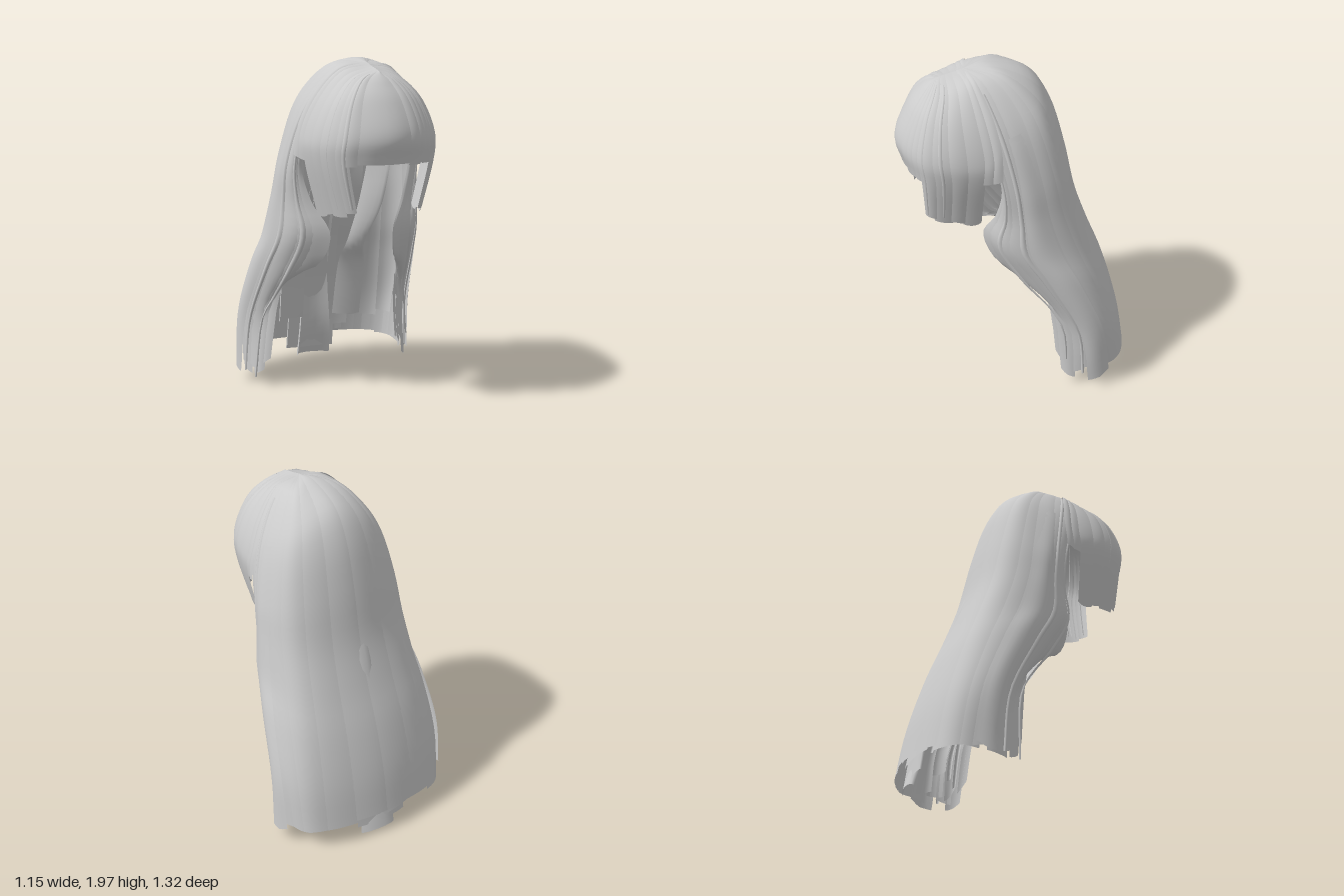
import * as THREE from 'three';

const hairMaterial = new THREE.MeshStandardMaterial({ color: 0xcccccc, side: THREE.DoubleSide });

// seeded random number in 0..1
let seed = 7;
const rand = () => (seed = (seed * 16807) % 2147483647) / 2147483647;

const curve = (pts) => new THREE.CatmullRomCurve3(pts, false, 'catmullrom', 0.5);
const guide = (pts, mirror = 1) => curve(pts.map(([x, y, z]) => new THREE.Vector3(x * mirror, y, z)));

// A hair surface spans a row of guide curves; s runs across the guides, t from root to tip.
function surface(guides) {
  return (t) => {
    const row = curve(guides.map((g) => g.getPoint(t)));
    return (s) => row.getPoint(THREE.MathUtils.clamp(s / (guides.length - 1), 0, 1));
  };
}

// Guides listed from the centre outwards, mirrored to the other side
const mirrored = (lists) => surface([
  ...lists.slice(1).reverse().map((l) => guide(l, -1)),
  ...lists.map((l) => guide(l)),
]);

// One flat lock of hair on a surface: slightly domed across, ragged at the tip, flaring outwards
function lock(surf, { s0, s1, t0 = 0, t1 = 1, lift = 0, bulge = 0.005, slant = 0, taper = 0, flare = 0, side = 1, nu = 6, nv = 36 }) {
  const pos = [], index = [];
  const e = 0.004;
  for (let j = 0; j <= nv; j++) {
    for (let i = 0; i <= nu; i++) {
      const u = i / nu, v = j / nv;
      const t = THREE.MathUtils.clamp(t0 + (t1 + slant * (u - 0.5) - t0) * v, 0, 1);
      const half = (s1 - s0) / 2 * (1 - taper * v * v);
      const s = (s0 + s1) / 2 + half * (2 * u - 1);
      const row = surf(t), p = row(s);
      const ds = row(s + 0.02).sub(row(s - 0.02));
      const dt = surf(Math.min(1, t + e))(s).sub(surf(Math.max(0, t - e))(s));
      const n = ds.cross(dt).multiplyScalar(side);
      if (n.length() < 1e-9) n.set(0, 1, 0);
      n.normalize();
      const k = (lift + bulge * (1 - (2 * u - 1) ** 2)) * Math.min(1, t * 5) + flare * v * v;
      p.addScaledVector(n, k);
      pos.push(p.x, p.y, p.z);
      if (i < nu && j < nv) {
        const a = j * (nu + 1) + i, b = a + 1, c = a + nu + 1, d = c + 1;
        if (side > 0) index.push(a, b, c, b, d, c);
        else index.push(a, c, b, b, c, d);
      }
    }
  }
  const geo = new THREE.BufferGeometry();
  geo.setAttribute('position', new THREE.Float32BufferAttribute(pos, 3));
  geo.setIndex(index);
  geo.computeVertexNormals();
  return geo;
}

export function createModel() {
  seed = 7;
  const model = new THREE.Group();
  model.name = 'longHair';
  const part = (name) => {
    const g = new THREE.Group();
    g.name = name;
    model.add(g);
    return (surf, opts) => {
      const m = new THREE.Mesh(lock(surf, opts), hairMaterial);
      m.name = name + 'Lock';
      g.add(m);
    };
  };

  // Long hair: from the centre of the back round to the front edge by the neck
  const long = mirrored([
    [[0, 1.97, .28], [0, 1.99, .14], [0, 1.92, -.07], [0, 1.76, -.185], [0, 1.5, -.265], [0, 1.2, -.33], [0, .95, -.415], [0, .7, -.515], [0, .42, -.6], [0, .13, -.655]],
    [[0, 1.97, .28], [.12, 1.965, .1], [.21, 1.85, -.04], [.27, 1.7, -.12], [.315, 1.45, -.19], [.34, 1.2, -.25], [.365, .95, -.34], [.39, .72, -.43], [.41, .42, -.52], [.41, .12, -.57]],
    [[0, 1.97, .28], [.14, 1.95, .18], [.255, 1.82, .1], [.34, 1.65, .05], [.405, 1.4, 0], [.43, 1.2, -.03], [.455, .98, -.09], [.495, .77, -.2], [.525, .45, -.34], [.515, .1, -.39]],
    [[0, 1.965, .3], [.15, 1.93, .27], [.27, 1.79, .23], [.345, 1.62, .18], [.385, 1.4, .13], [.38, 1.2, .11], [.38, 1.0, .12], [.415, .78, -.01], [.47, .45, -.21], [.5, .07, -.24]],
    [[0, 1.96, .32], [.15, 1.91, .3], [.265, 1.77, .27], [.325, 1.6, .23], [.34, 1.4, .16], [.29, 1.2, .18], [.2, 1.02, .235], [.24, .83, .155], [.37, .67, -.08], [.44, .1, -.16]],
  ]);
  const addLong = part('longOuterHair');
  const n = 18;
  for (let i = 0; i < n; i++) {
    const s = i * 8 / n, w = 8 / n;
    addLong(long, {
      s0: Math.max(0, s - .05 - .15 * rand()), s1: Math.min(8, s + w + .05 + .15 * rand()),
      t1: .975 + .025 * rand(), lift: .005 * rand(), bulge: .003 + .003 * rand(), slant: .02 * (rand() - .5),
    });
  }

  // Under layer with uneven tips, seen from the front and below
  const addUnder = part('longUnderHair');
  for (let i = 0; i < 12; i++) {
    const s = .55 + i * .575;
    addUnder(long, {
      s0: s - .08, s1: s + .65, t0: .12, t1: .93 + .07 * rand(), lift: -.012 - .015 * rand(),
      bulge: .008, slant: .03 * (rand() - .5), taper: .2,
    });
  }

  // Loose sheets and thin wisps over both sides, flaring away at the tips
  const addWisp = part('sideWisps');
  for (const m of [-1, 1]) {
    addWisp(long, { s0: 4 + m * 2.1 - .35, s1: 4 + m * 2.1 + .35, t0: .3, t1: 1, lift: .004, flare: .045, slant: .02 * m });
    for (const a of [2.6, 3.3]) {
      addWisp(long, { s0: 4 + m * a - .1, s1: 4 + m * a + .1, t0: .15, t1: .95 + .05 * rand(), lift: .004, flare: .03 * rand(), bulge: .008, taper: .5, nu: 4 });
    }
  }

  // Nested curls just inside the front edges, by the neck
  const addCurl = part('neckCurls');
  for (const m of [-1, 1]) {
    for (const [a, lift, t1] of [[3.75, -.02, .92], [3.4, -.04, .97], [3.05, -.03, .95]]) {
      addCurl(long, { s0: 4 + m * a - .2, s1: 4 + m * a + .2, t0: .35, t1, lift, bulge: .012, taper: .5 });
    }
  }

  // Front hair: from the centre of the fringe round to above the ears
  const front = mirrored([
    [[0, 1.93, .44], [0, 1.87, .505], [0, 1.77, .585], [0, 1.6, .66], [0, 1.45, .63], [0, 1.15, .57]],
    [[0, 1.935, .42], [.1, 1.885, .465], [.18, 1.78, .53], [.235, 1.6, .58], [.24, 1.45, .565], [.18, 1.17, .545]],
    [[0, 1.945, .38], [.145, 1.89, .39], [.255, 1.77, .42], [.325, 1.6, .43], [.325, 1.45, .42], [.25, 1.16, .42]],
    [[0, 1.96, .31], [.155, 1.92, .29], [.275, 1.78, .27], [.35, 1.6, .25], [.355, 1.45, .26], [.285, 1.15, .27]],
    [[0, 1.97, .27], [.15, 1.945, .24], [.275, 1.81, .19], [.355, 1.64, .16], [.385, 1.47, .16], [.375, 1.38, .14]],
  ]);

  // Straight-cut fringe
  const addFringe = part('fringe');
  const cuts = [2.85, 3.2, 4.4, 4.6, 4.75, 4.95, 5.15];
  for (let i = 0; i < cuts.length - 1; i++) {
    addFringe(front, {
      s0: cuts[i] - .05, s1: cuts[i + 1] + .05, t1: .79 + .015 * rand(), lift: .005 * rand(), bulge: .005, side: -1, nv: 24,
    });
  }

  // Cheek-length locks and shorter hair above the ears
  const addCheek = part('cheekLocks');
  for (const m of [-1, 1]) {
    for (const [a, b, t] of [[.95, 1.5, .985], [1.35, 2.05, 1], [1.9, 2.55, .99], [2.4, 3.05, .995], [2.9, 3.5, .8], [3.4, 4, .8]]) {
      const s = [4 + m * a, 4 + m * b].sort((p, q) => p - q);
      addCheek(front, { s0: s[0], s1: s[1], t1: t, lift: .004 * rand(), bulge: .005, slant: .01 * (rand() - .5), side: -1, nv: 28 });
    }
    // narrow accents at the temple
    for (const a of [1.1, 1.7]) {
      addCheek(front, { s0: 4 + m * a - .1, s1: 4 + m * a + .1, t0: .1, t1: .97, lift: .003, bulge: .007, taper: .4, side: -1, nu: 4, nv: 28 });
    }
  }

  // Inner panels falling behind the shoulders
  const addPanel = part('innerPanels');
  for (const m of [-1, 1]) {
    const edges = [
      [[.33, 1.45, -.05], [.28, 1.1, -.1], [.22, .85, -.22], [.27, .68, -.34], [.27, .33, -.42]],
      [[.22, 1.45, -.14], [.17, 1.1, -.2], [.13, .85, -.28], [.11, .68, -.38], [.1, .33, -.46]],
    ].map((l) => guide(l, m));
    addPanel(surface(edges), { s0: 0, s1: 1, bulge: .015, nv: 20 });
  }

  // Central strands hanging below the back, the longest one leaning outwards
  const addTail = part('backTail');
  const tail = surface([-1, 1].map((m) => guide([
    [m * .06, 1.4, -.26], [m * .07, 1.0, -.37], [.01 + m * .08, .6, -.51], [.02 + m * .1, .25, -.55], [.03 + m * .11, .02, -.61],
  ])));
  addTail(tail, { s0: 0, s1: 1, bulge: .03, nv: 20 });
  const wideTail = surface([-1, 1].map((m) => guide([
    [m * .1, 1.2, -.3], [m * .13, .8, -.44], [m * .15, .4, -.55], [m * .16, .07, -.6],
  ])));
  addTail(wideTail, { s0: 0, s1: 1, bulge: .02, slant: .03, nv: 20 });

  return model;
}
